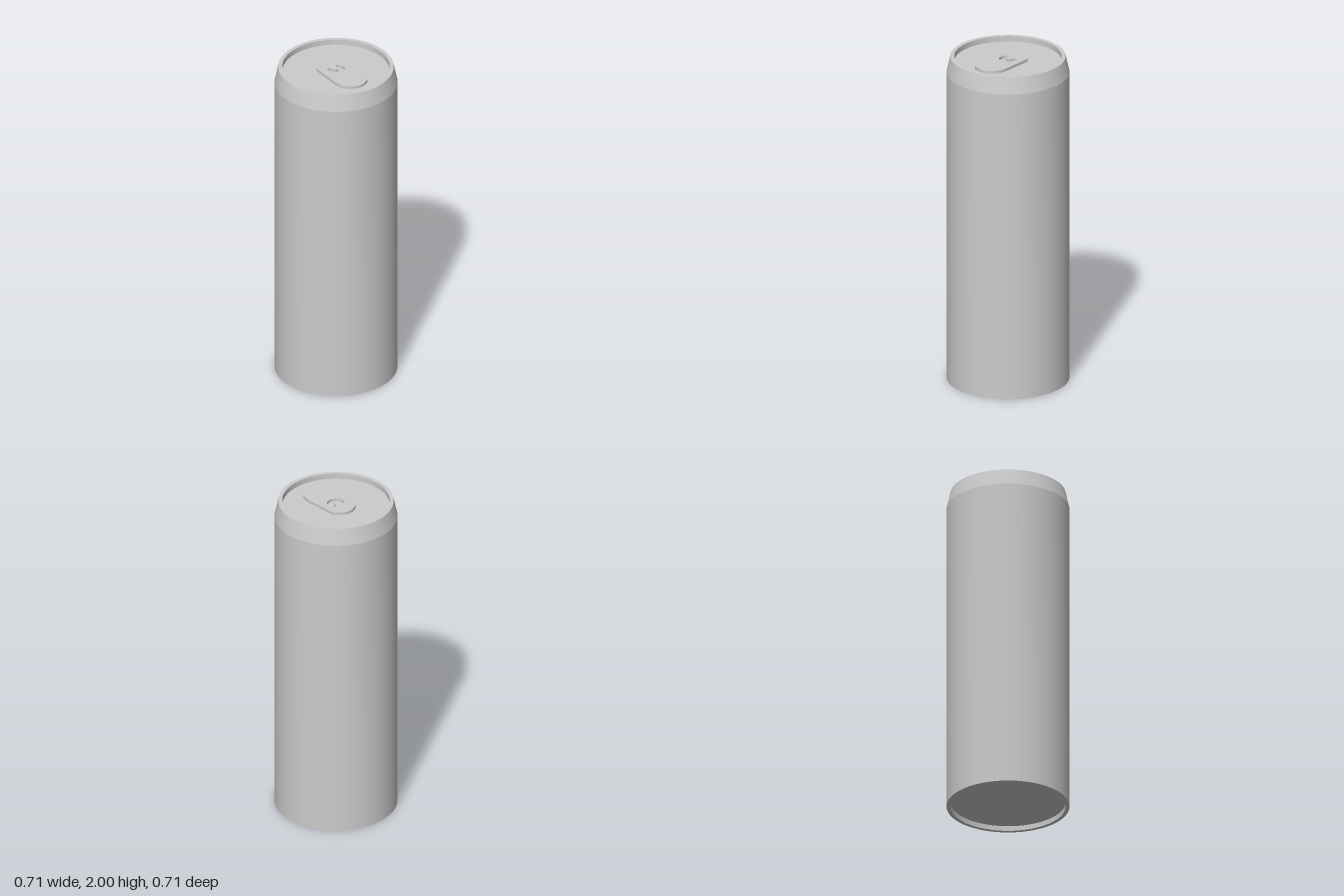
import * as THREE from 'three';
import { toCreasedNormals } from 'three/addons/utils/BufferGeometryUtils.js';

const material = new THREE.MeshStandardMaterial({ color: 0xcccccc });

function addMesh(group, name, geometry, crease) {
  const mesh = new THREE.Mesh(toCreasedNormals(geometry, THREE.MathUtils.degToRad(crease)), material);
  mesh.name = name;
  group.add(mesh);
  return mesh;
}

// Mirrors a half outline (start to end on the x = 0 line) into a closed path
function mirroredPath(path, start, curves) {
  path.moveTo(...start);
  let from = start;
  const back = [];
  for (const c of curves) {
    const [x1, y1, x2, y2, x, y] = c;
    path.bezierCurveTo(...c);
    back.unshift([-x2, y2, -x1, y1, -from[0], from[1]]);
    from = [x, y];
  }
  back.forEach((c) => path.bezierCurveTo(...c));
  return path;
}

export function createModel() {
  const can = new THREE.Group();
  can.name = 'drinkCan';
  const lidY = 1.967;

  // Body: recessed base, straight wall, tapered neck, rim and recessed lid
  const profile = [
    [0, 0.03], [0.335, 0.03], [0.335, 0], [0.357, 0], [0.357, 1.9],
    [0.335, 2], [0.312, 2], [0.312, lidY], [0, lidY],
  ].map(([r, y]) => new THREE.Vector2(r, y));
  addMesh(can, 'canBody', new THREE.LatheGeometry(profile, 72), 9);

  // Pull tab outline, wider toward the front (shape y points to the back)
  const outline = mirroredPath(new THREE.Shape(), [0, -0.235], [
    [0.03, -0.235, 0.06, -0.22, 0.08, -0.195],
    [0.095, -0.175, 0.1, -0.15, 0.099, -0.12],
    [0.096, -0.06, 0.092, 0, 0.088, 0.055],
    [0.086, 0.075, 0.08, 0.083, 0.068, 0.094],
    [0.048, 0.111, 0.025, 0.122, 0, 0.122],
  ]);
  // Crescent opening around the rivet tongue
  const opening = mirroredPath(new THREE.Path(), [0, -0.05], [
    [0.03, -0.05, 0.05, -0.03, 0.05, -0.002],
    [0.05, 0.018, 0.042, 0.031, 0.031, 0.031],
    [0.023, 0.031, 0.018, 0.024, 0.018, 0.012],
    [0.017, 0.002, 0.01, -0.009, 0, -0.009],
  ]);
  outline.holes.push(opening);
  const tabGeometry = new THREE.ExtrudeGeometry(outline, { depth: 0.017, bevelEnabled: false, curveSegments: 8 });
  tabGeometry.rotateX(-Math.PI / 2);
  addMesh(can, 'pullTab', tabGeometry, 35).position.y = lidY;

  return can;
}
